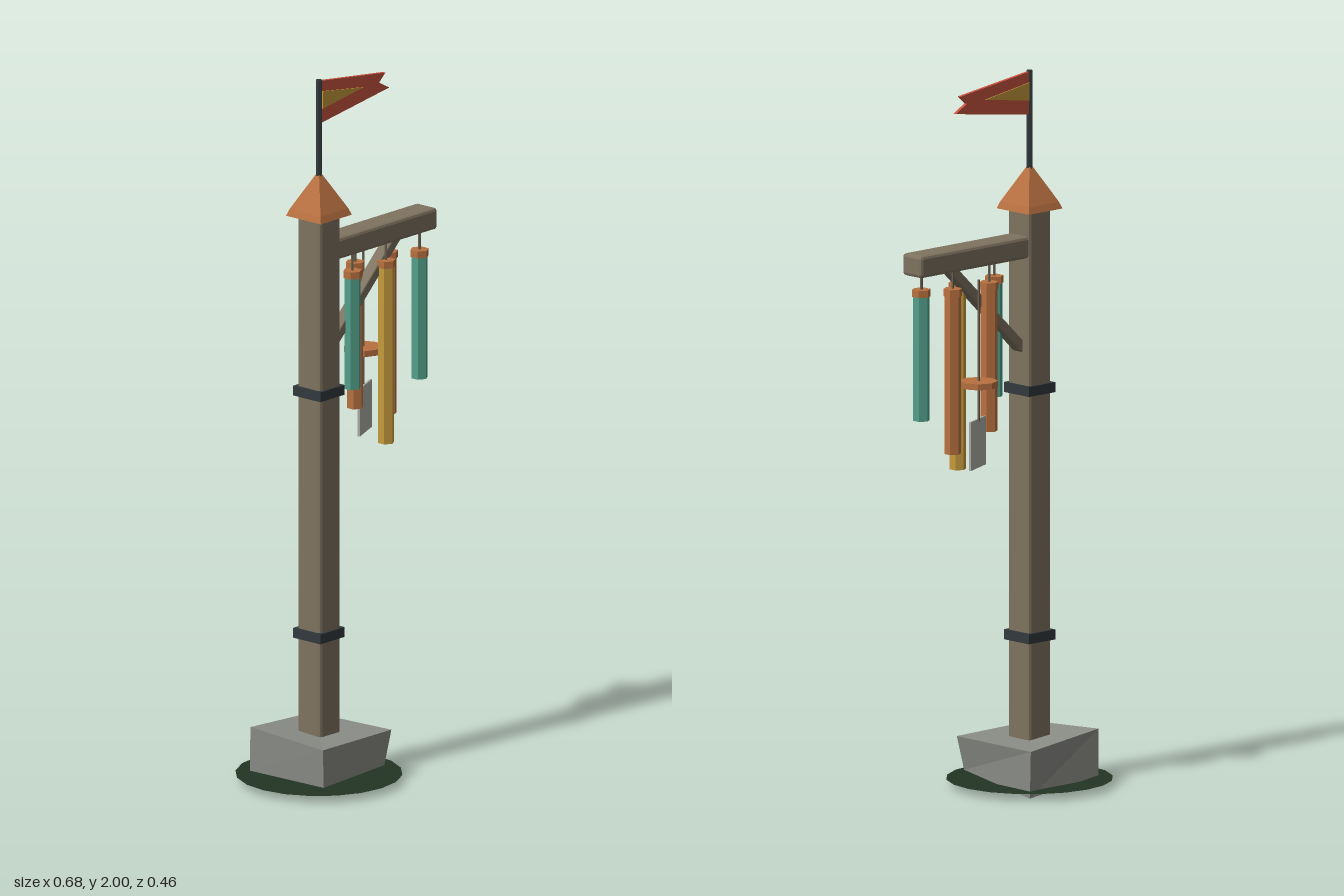
import * as THREE from 'three';
import { RoundedBoxGeometry } from 'three/addons/geometries/RoundedBoxGeometry.js';

const material = (name, color, extra = {}) => {
  const m = new THREE.MeshStandardMaterial({ color, ...extra });
  m.name = name;
  return m;
};

// Gives every face its own normal
const flat = (geometry) => {
  const g = geometry.index ? geometry.toNonIndexed() : geometry;
  g.computeVertexNormals();
  return g;
};

export function createModel() {
  const wood = material('weathered wood', 0x7f7360);
  const stone = material('stone', 0x8b8d87);
  const iron = material('dark iron', 0x32393c);
  const copper = material('copper', 0xb87040);
  const teal = material('verdigris', 0x529f8a);
  const gold = material('brass', 0xc59a3c);
  const red = material('pennant red', 0xc8523e);
  const pale = material('pale plate', 0xacaca7);
  const grass = material('dark grass', 0x223524, { side: THREE.DoubleSide });
  const cord = material('cord', 0x6b5f50);

  const model = new THREE.Group();
  model.name = 'windChimePost';
  const POST_X = -0.11;

  const add = (name, geometry, mat, x = 0, y = 0, z = 0) => {
    const mesh = new THREE.Mesh(flat(geometry), mat);
    mesh.name = name;
    mesh.position.set(x, y, z);
    model.add(mesh);
    return mesh;
  };
  const beam = (w, h, d, bevel) => new RoundedBoxGeometry(w, h, d, 1, bevel);
  // Upright prism between two heights
  const rod = (name, r, y0, y1, sides, mat, x, z = 0) =>
    add(name, new THREE.CylinderGeometry(r, r, y1 - y0, sides), mat, x, (y0 + y1) / 2, z);

  // Ground patch
  const patch = new THREE.CircleGeometry(0.23, 20);
  patch.rotateX(-Math.PI / 2);
  add('groundPatch', patch, grass, POST_X, 0.02, 0);

  // Rough footing: a box with each corner nudged (order: left/right, bottom/top, back/front)
  const corners = [
    [-0.242, 0.028, -0.136], [-0.238, 0.03, 0.132],
    [-0.25, 0.156, -0.127], [-0.247, 0.14, 0.137],
    [0.021, 0, -0.139], [0.014, 0.04, 0.13],
    [0.028, 0.133, -0.15], [0.037, 0.137, 0.135],
  ];
  const block = new THREE.BoxGeometry(1, 1, 1);
  const p = block.attributes.position;
  for (let i = 0; i < p.count; i++) {
    const k = (p.getX(i) > 0 ? 4 : 0) + (p.getY(i) > 0 ? 2 : 0) + (p.getZ(i) > 0 ? 1 : 0);
    p.setXYZ(i, ...corners[k]);
  }
  add('footing', block, stone);

  // Post, bands and arm
  add('post', beam(0.086, 1.52, 0.086, 0.01), wood, POST_X, 0.86, 0);
  for (const y of [0.421, 1.113]) {
    add('band', new THREE.BoxGeometry(0.1, 0.028, 0.1), iron, POST_X, y, 0);
  }
  add('arm', beam(0.42, 0.062, 0.076, 0.009), wood, 0.127, 1.514, 0);

  // Diagonal brace
  const from = new THREE.Vector2(-0.075, 1.228), to = new THREE.Vector2(0.2, 1.49);
  const brace = add('brace', beam(from.distanceTo(to), 0.028, 0.036, 0.004), wood,
    (from.x + to.x) / 2, (from.y + to.y) / 2, 0);
  brace.rotation.z = Math.atan2(to.y - from.y, to.x - from.x);

  // Four-sided cap with a steep lower rim
  const diag = Math.SQRT2;
  const cap = new THREE.LatheGeometry([
    new THREE.Vector2(0, 1.613), new THREE.Vector2(0.064 * diag, 1.613),
    new THREE.Vector2(0.057 * diag, 1.632), new THREE.Vector2(0, 1.742),
  ], 4, Math.PI / 4);
  add('cap', cap, copper, POST_X);

  // Flagpole and pennant
  rod('flagpole', 0.009, 1.72, 2, 6, iron, POST_X);
  const plate = (points, depth) => {
    const shape = new THREE.Shape(points.map(([x, y]) => new THREE.Vector2(x, y)));
    return new THREE.ExtrudeGeometry(shape, { depth, bevelEnabled: false });
  };
  add('pennant', plate([
    [-0.105, 1.877], [0.174, 1.917], [0.132, 1.94], [0.158, 1.963], [-0.105, 1.997],
  ], 0.01), red, 0, 0, -0.005);
  for (const z of [-0.008, 0.005]) {
    add('pennantStripe', plate([[-0.103, 1.917], [0.065, 1.942], [-0.103, 1.967]], 0.003), gold, 0, 0, z);
  }

  // Chime tubes, alternately hung in front and behind
  const tubes = [[1.1, teal], [1.02, copper], [0.915, gold], [0.975, copper], [1.07, teal]];
  tubes.forEach(([bottom, mat], i) => {
    const x = i * 0.069;
    const z = i % 2 ? -0.027 : 0.025;
    rod('chimeTube', 0.0235, bottom, 1.425, 6, mat, x, z);
    rod('chimeCap', 0.0265, 1.417, 1.437, 6, copper, x, z);
    rod('chimeCord', 0.004, 1.435, 1.49, 5, cord, x, z);
  });

  // Striker disc and wind sail on one cord
  rod('strikerCord', 0.004, 1.06, 1.457, 5, cord, 0.138, -0.058);
  rod('striker', 0.053, 1.157, 1.174, 8, copper, 0.138, -0.058);
  add('windSail', new THREE.BoxGeometry(0.102, 0.136, 0.006), pale, 0.138, 0.998, -0.053).rotation.y = 0.4;

  return model;
}
